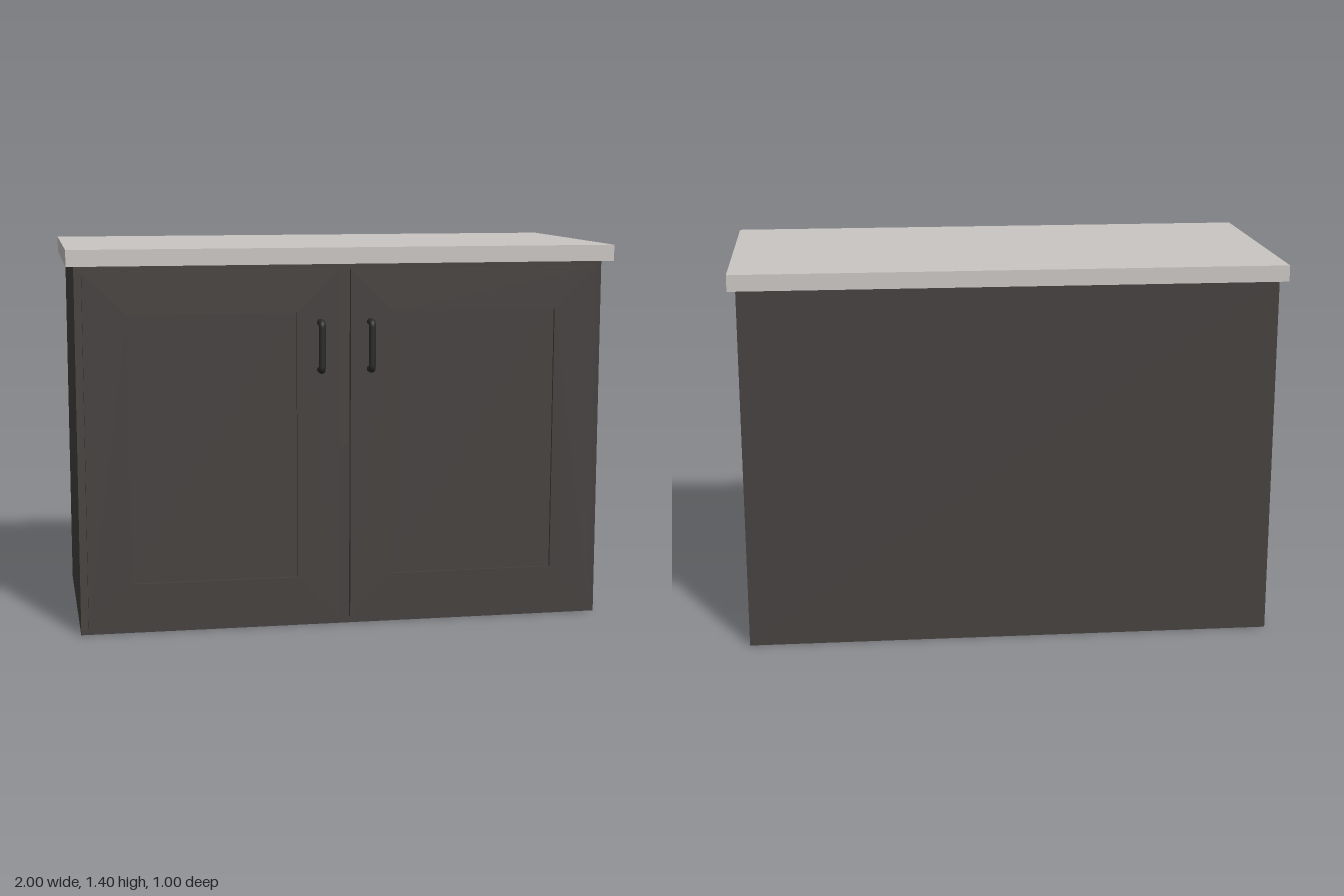
import * as THREE from 'three';

const paint = (name, color) => Object.assign(new THREE.MeshStandardMaterial({ color }), { name });

// Box given by its minimum and maximum corners
function block(name, material, [x0, y0, z0], [x1, y1, z1]) {
  const mesh = new THREE.Mesh(new THREE.BoxGeometry(x1 - x0, y1 - y0, z1 - z0), material);
  mesh.position.set((x0 + x1) / 2, (y0 + y1) / 2, (z0 + z1) / 2);
  mesh.name = name;
  return mesh;
}

const rectangle = (path, x0, y0, x1, y1) =>
  path.moveTo(x0, y0).lineTo(x1, y0).lineTo(x1, y1).lineTo(x0, y1).closePath();

// Door frame around a recessed panel; side is +1 or -1
function makeDoor(side, material) {
  const door = new THREE.Group();
  const span = (a, b) => (side > 0 ? [a, b] : [-b, -a]);
  const [x0, x1] = span(0.02, 0.945);
  const [p0, p1] = span(0.178, 0.788);

  const outline = rectangle(new THREE.Shape(), x0, 0.027, x1, 1.32);
  outline.holes.push(rectangle(new THREE.Path(), p0, 0.187, p1, 1.165));
  const frame = new THREE.Mesh(
    new THREE.ExtrudeGeometry(outline, { depth: 0.022, bevelEnabled: false }), material);
  frame.position.z = 0.425;
  frame.name = 'doorFrame';
  door.add(frame, block('doorPanel', material, [p0, 0.187, 0.425], [p1, 1.165, 0.436]));
  return door;
}

// Round bar pull with bent corners
function makeHandle(x, material) {
  const top = 1.129, bottom = 0.957, back = 0.44, front = 0.484, bend = 0.016;
  const v = (y, z) => new THREE.Vector3(0, y, z);
  const path = new THREE.CurvePath();
  path.add(new THREE.LineCurve3(v(top, back), v(top, front - bend)));
  path.add(new THREE.QuadraticBezierCurve3(v(top, front - bend), v(top, front), v(top - bend, front)));
  path.add(new THREE.LineCurve3(v(top - bend, front), v(bottom + bend, front)));
  path.add(new THREE.QuadraticBezierCurve3(v(bottom + bend, front), v(bottom, front), v(bottom, front - bend)));
  path.add(new THREE.LineCurve3(v(bottom, front - bend), v(bottom, back)));
  const handle = new THREE.Mesh(new THREE.TubeGeometry(path, 80, 0.013, 12), material);
  handle.position.x = x;
  return handle;
}

export function createModel() {
  const cabinetPaint = paint('charcoal cabinet', 0x45413f);
  const stone = paint('pale stone', 0xc9c5c3);
  const metal = paint('dark metal', 0x2b2a2a);

  const model = new THREE.Group();
  model.name = 'baseCabinet';
  model.add(
    block('carcass', cabinetPaint, [-0.972, 0, -0.469], [0.972, 1.341, 0.425]),
    block('countertop', stone, [-1, 1.341, -0.498], [1, 1.4, 0.484]));

  // Mirrored pair of doors with their handles
  for (const side of [1, -1]) {
    const label = side > 0 ? 'left' : 'right';
    const door = makeDoor(side, cabinetPaint);
    door.name = label + 'Door';
    const handle = makeHandle(side * 0.092, metal);
    handle.name = label + 'Handle';
    model.add(door, handle);
  }
  return model;
}
